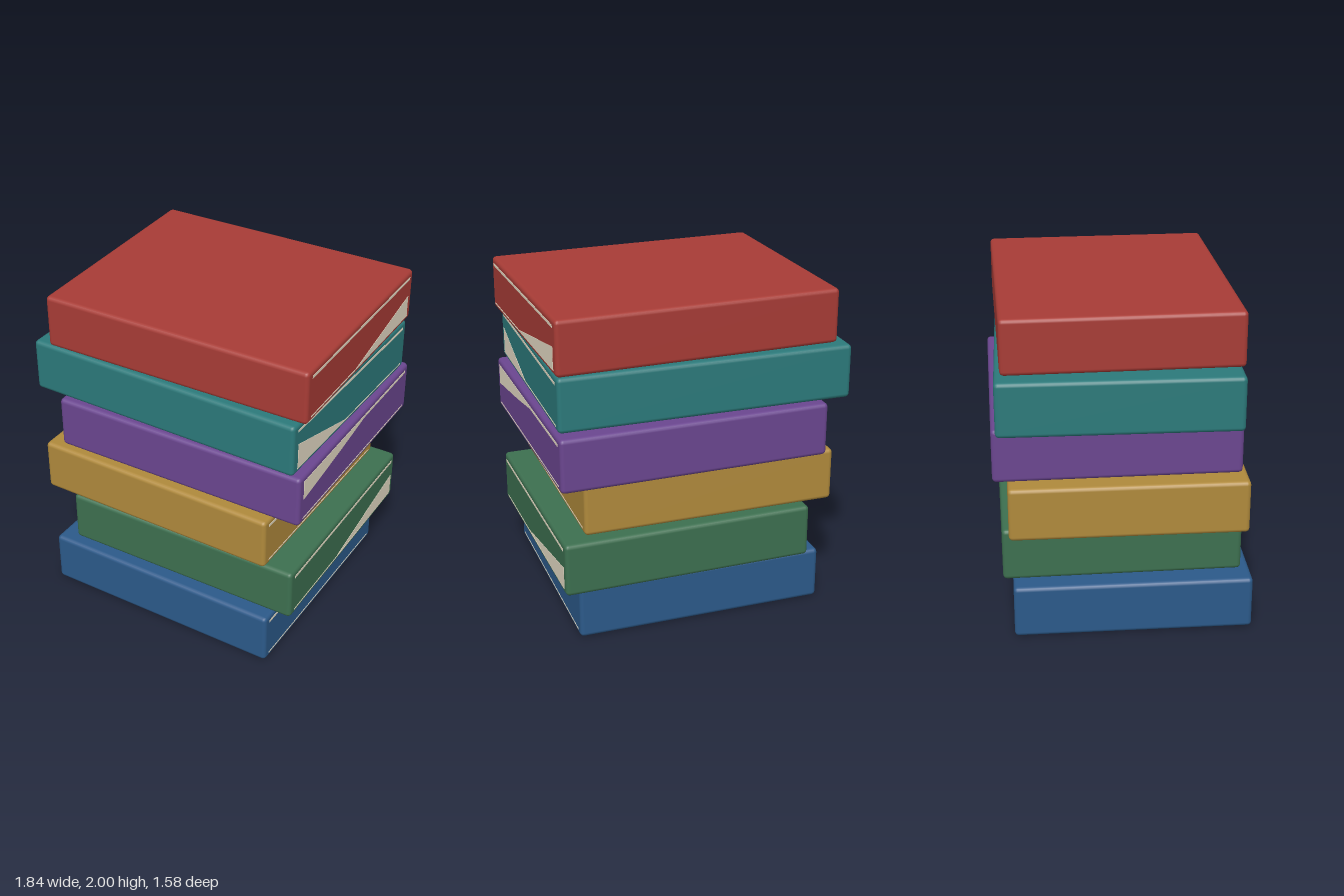
import * as THREE from 'three';
import { RoundedBoxGeometry } from 'three/addons/geometries/RoundedBoxGeometry.js';

const mat = (name, color) => {
  const m = new THREE.MeshStandardMaterial({ color });
  m.name = name;
  return m;
};

const BOOK_HEIGHT = 0.325;
const STEP = 0.335;

// Bottom to top: name, colour, width, depth, centre x and z, yaw, and the
// exposed page wedge on the fore edge as [toward back, up] points
const BOOKS = [
  ['blue', 0x2c5a8a, 1.523, 1.425, 0.0, 0.052, -0.04, null],
  ['green', 0x3d7050, 1.525, 1.425, 0.11, -0.012, -0.027, [[-0.09, -0.12], [0.67, -0.128], [0.67, 0.01]]],
  ['gold', 0xb08a3c, 1.545, 1.395, -0.05, 0.02, -0.043, null],
  ['purple', 0x6b4690, 1.62, 1.445, 0.085, -0.045, -0.028,
    [[-0.67, 0.128], [-0.67, 0.003], [-0.22, 0.063], [0.15, 0.122], [0.15, 0.128]]],
  ['teal', 0x2c7a7b, 1.755, 1.392, -0.01, -0.03, -0.05, [[-0.64, 0.032], [-0.64, -0.128], [-0.07, -0.128]]],
  ['red', 0xa83c36, 1.685, 1.37, 0.055, -0.03, -0.018, [[-0.075, -0.125], [0.63, -0.132], [0.63, 0.005]]],
];

const polygon = (pts) => new THREE.Shape(pts.map(([u, v]) => new THREE.Vector2(u, v)));
const strip = (half, lo, hi) => polygon([[-half, lo], [half, lo], [half, hi], [-half, hi]]);

export function createModel() {
  const group = new THREE.Group();
  group.name = 'bookStack';
  const paper = mat('paper cream', 0xe6dcc6);

  BOOKS.forEach(([name, color, w, d, x, z, yaw, wedge], i) => {
    const book = new THREE.Group();
    book.name = `${name}Book`;

    // Cover with softened edges
    const cover = new THREE.Mesh(new RoundedBoxGeometry(w, BOOK_HEIGHT, d, 2, 0.025), mat(`${name} cover`, color));
    cover.name = `${name}Cover`;
    book.add(cover);

    // Page edges showing along the fore edge
    const half = d / 2 - 0.05;
    const shapes = [strip(half, 0.112, 0.128), strip(half, -0.132, -0.125)];
    if (wedge) shapes.push(polygon(wedge));
    const geometry = new THREE.ExtrudeGeometry(shapes, { depth: 0.004, bevelEnabled: false });
    geometry.rotateY(Math.PI / 2).translate(w / 2 - 0.002, 0, 0);
    const pages = new THREE.Mesh(geometry, paper);
    pages.name = `${name}Pages`;
    book.add(pages);

    book.position.set(x, BOOK_HEIGHT / 2 + i * STEP, z);
    book.rotation.y = yaw;
    group.add(book);
  });
  return group;
}
